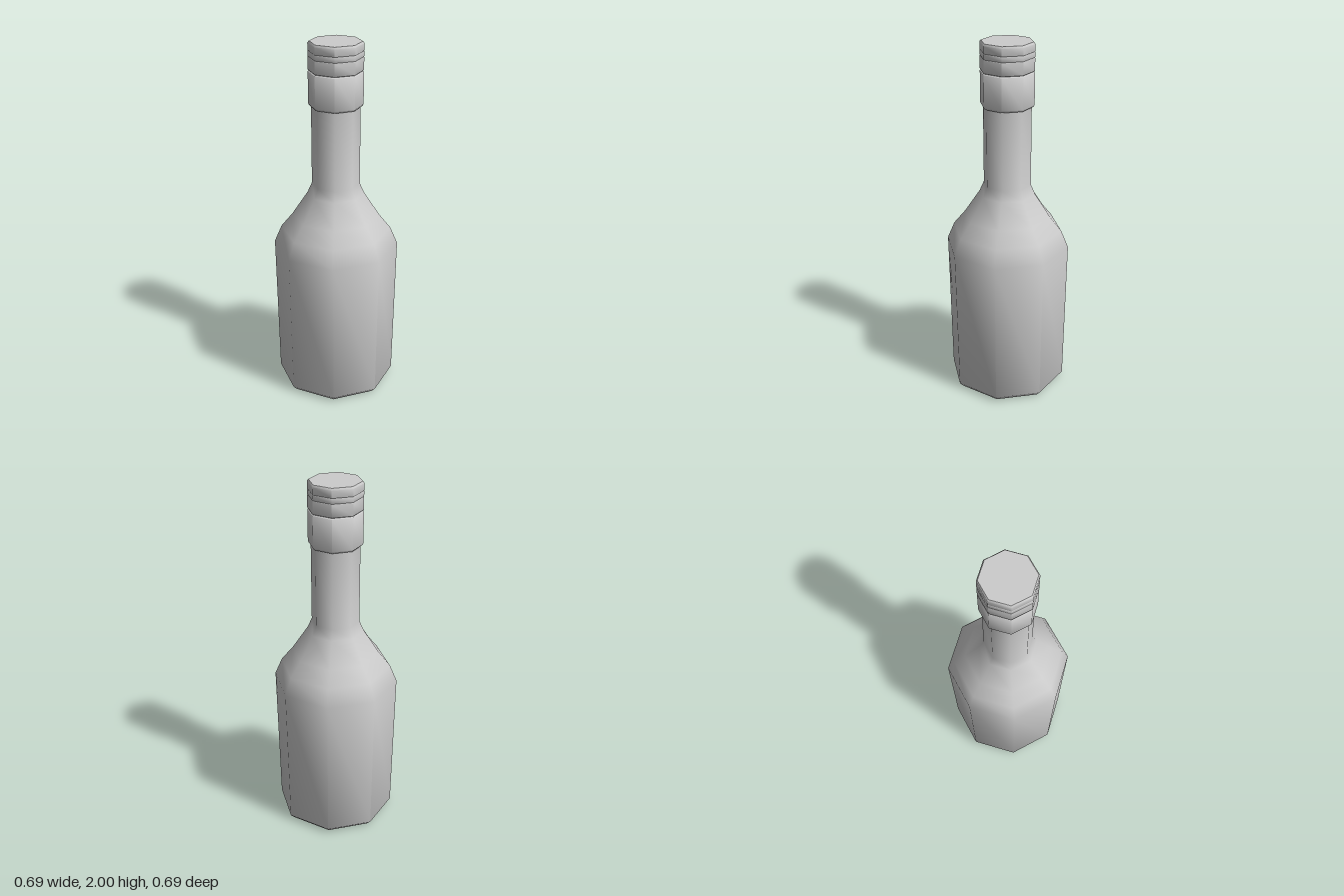
import * as THREE from 'three';
import { toCreasedNormals } from 'three/addons/utils/BufferGeometryUtils.js';

const SIDES = 8;

// Eight-sided turned part from [radius, height] pairs, listed bottom to top
function turned(name, profile) {
  const points = profile.map(([r, y]) => new THREE.Vector2(r, y));
  const geometry = toCreasedNormals(new THREE.LatheGeometry(points, SIDES), 0.87);
  const mesh = new THREE.Mesh(geometry, new THREE.MeshStandardMaterial({ color: 0xcccccc }));
  mesh.name = name;
  return mesh;
}

export function createModel() {
  const group = new THREE.Group();
  group.name = 'bottle';

  // Chamfered base, slightly flared body, sloping shoulder and neck
  group.add(turned('bottleBody', [
    [0, 0], [0.305, 0], [0.333, 0.03], [0.345, 0.86], [0.305, 0.955],
    [0.24, 1.035], [0.155, 1.165], [0.131, 1.22], [0.131, 1.67],
  ]));

  // Sleeve below the cap
  group.add(turned('capSleeve', [
    [0.125, 1.658], [0.139, 1.658], [0.146, 1.668], [0.146, 1.841], [0.142, 1.845], [0.13, 1.845],
  ]));

  // Screw cap with two fine grooves and a softened top edge
  const cap = [[0.13, 1.847], [0.142, 1.847], [0.146, 1.851]];
  for (const y of [1.92, 1.95]) {
    cap.push([0.146, y - 0.003], [0.144, y], [0.146, y + 0.003]);
  }
  cap.push([0.146, 1.99], [0.139, 2], [0, 2]);
  group.add(turned('screwCap', cap));

  return group;
}
